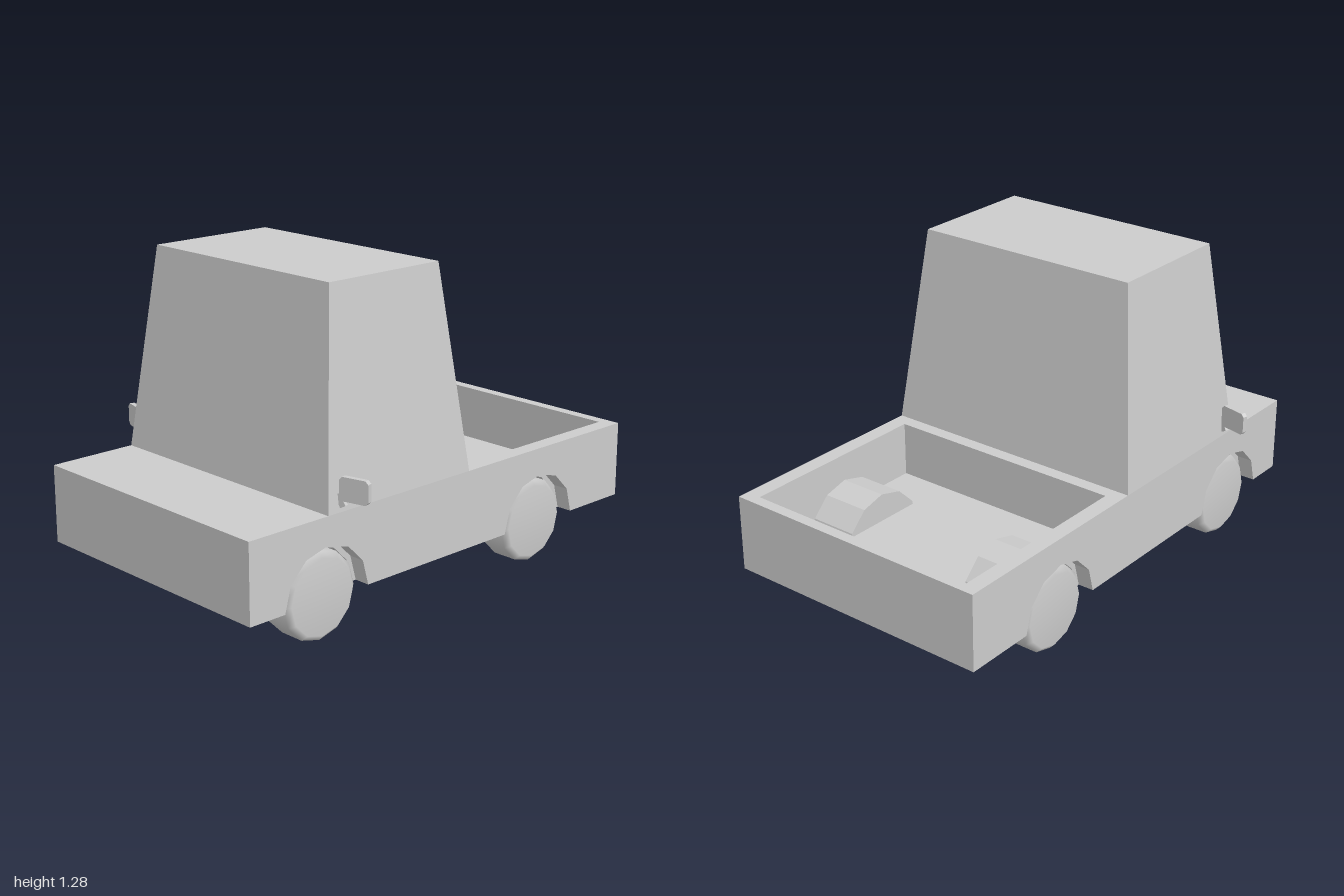
import * as THREE from 'three';

const material = new THREE.MeshStandardMaterial({ color: 0xcccccc, flatShading: true });
const smooth = new THREE.MeshStandardMaterial({ color: 0xcccccc });

const AXLES = [0.64, -0.505];
const BASE = 0.17, DECK = 0.48, HALF = 0.57, INNER = 0.505, FLOOR = 0.255;
const ARCH = 0.2, LINER = 0.178;

export function createModel() {
  const model = new THREE.Group();

  const add = (name, geometry, mat = material) => {
    const mesh = new THREE.Mesh(geometry, mat);
    mesh.name = name;
    model.add(mesh);
    return mesh;
  };
  const box = (name, x0, x1, y0, y1, z0, z1) =>
    add(name, new THREE.BoxGeometry(x1 - x0, y1 - y0, z1 - z0)
      .translate((x0 + x1) / 2, (y0 + y1) / 2, (z0 + z1) / 2));

  // Extrude an outline of [z, y] points from x0 to x1
  const extrudeX = (name, points, x0, x1) => {
    const shape = new THREE.Shape(points.map(([z, y]) => new THREE.Vector2(-z, y)));
    const geometry = new THREE.ExtrudeGeometry(shape, { depth: x1 - x0, bevelEnabled: false });
    return add(name, geometry.rotateY(Math.PI / 2).translate(x0, 0, 0));
  };

  // Half of a twelve-sided arch, running from the front to the back
  const arch = (z, r) => Array.from({ length: 7 }, (_, i) => {
    const a = i * Math.PI / 6;
    return [z + r * Math.cos(a), BASE + r * Math.sin(a)];
  });

  // Side walls with wheel arch cutouts
  const wall = [[-1, BASE], [-1, DECK], [1, DECK], [1, BASE], ...AXLES.flatMap(z => arch(z, ARCH))];
  extrudeX('leftWall', wall, INNER, HALF);
  extrudeX('rightWall', wall, -HALF, -INNER);

  // Nose, tailgate, hood and bulkhead
  box('nose', -INNER, INNER, BASE, DECK, 0.955, 1);
  box('tailgate', -INNER, INNER, BASE, DECK, -1, -0.955);
  box('hood', -INNER, INNER, 0.4, DECK, -0.145, 0.955);
  box('bulkhead', -INNER, INNER, FLOOR, 0.4, -0.145, -0.09);

  // Floor pan, notched around the wheel wells
  const wellDepth = side => (side > 0 ? 0.305 : 0.265);
  const notch = (side, z) => [
    [side * INNER, z + side * LINER], [side * wellDepth(side), z + side * LINER],
    [side * wellDepth(side), z - side * LINER], [side * INNER, z - side * LINER],
  ];
  const pan = [
    [INNER, 0.955], ...AXLES.flatMap(z => notch(1, z)), [INNER, -0.955],
    [-INNER, -0.955], ...[...AXLES].reverse().flatMap(z => notch(-1, z)), [-INNER, 0.955],
  ];
  add('floorPan', new THREE.ExtrudeGeometry(
    new THREE.Shape(pan.map(([x, z]) => new THREE.Vector2(x, z))),
    { depth: FLOOR - BASE, bevelEnabled: false },
  ).rotateX(Math.PI / 2).translate(0, FLOOR, 0));

  // Cab: a box whose top is drawn in
  const cab = new THREE.BoxGeometry(1, 1, 1);
  const p = cab.attributes.position;
  for (let i = 0; i < p.count; i++) {
    const top = p.getY(i) > 0, front = p.getZ(i) > 0;
    p.setXYZ(i, Math.sign(p.getX(i)) * (top ? 0.48 : HALF), top ? 1.283 : DECK,
      front ? (top ? 0.545 : 0.635) : (top ? 0 : -0.09));
  }
  cab.computeVertexNormals();
  add('cab', cab);

  // Wheels and wheel wells
  const tyre = [[0, -0.0725], [0.148, -0.0725], [0.17, -0.052], [0.17, 0.052], [0.148, 0.0725], [0, 0.0725]];
  const wheel = new THREE.LatheGeometry(tyre.map(([r, h]) => new THREE.Vector2(r, h)), 12)
    .rotateZ(Math.PI / 2);
  for (const side of [1, -1]) {
    const label = side > 0 ? 'Left' : 'Right';
    const span = (a, b) => [Math.min(side * a, side * b), Math.max(side * a, side * b)];
    AXLES.forEach((z, i) => {
      const end = i ? 'rear' : 'front';
      add(`${end}${label}Wheel`, wheel, smooth).position.set(side * 0.4725, 0.17, z);
      const d = wellDepth(side);
      extrudeX(`${end}${label}WheelWell`, [...arch(z, ARCH), ...arch(z, LINER).reverse()], ...span(d, INNER));
      extrudeX(`${end}${label}WellEnd`, arch(z, ARCH), ...span(d, d + 0.015));
    });

    // Door mirror: chamfered head on a short stalk, swept back
    const mirror = new THREE.Group();
    mirror.name = `mirror${label}`;
    const w = 0.06, h = 0.045, c = 0.012;
    const outline = [[-w, -h], [w - c, -h], [w, c - h], [w, h - c], [w - c, h], [c - w, h], [-w, h - c]];
    const head = new THREE.Mesh(new THREE.ExtrudeGeometry(
      new THREE.Shape(outline.map(([x, y]) => new THREE.Vector2(side * x, y))),
      { depth: 0.02, bevelEnabled: false },
    ).translate(0, 0, -0.01), material);
    head.name = 'mirrorHead';
    const stalk = new THREE.Mesh(new THREE.BoxGeometry(0.025, 0.05, 0.016), material);
    stalk.name = 'mirrorStalk';
    stalk.position.set(side * -0.058, -0.045, 0);
    stalk.rotation.z = side * 0.5;
    mirror.add(head, stalk);
    mirror.position.set(side * 0.626, 0.57, 0.56);
    mirror.rotation.y = side * 0.24;
    model.add(mirror);
  }

  return model;
}
